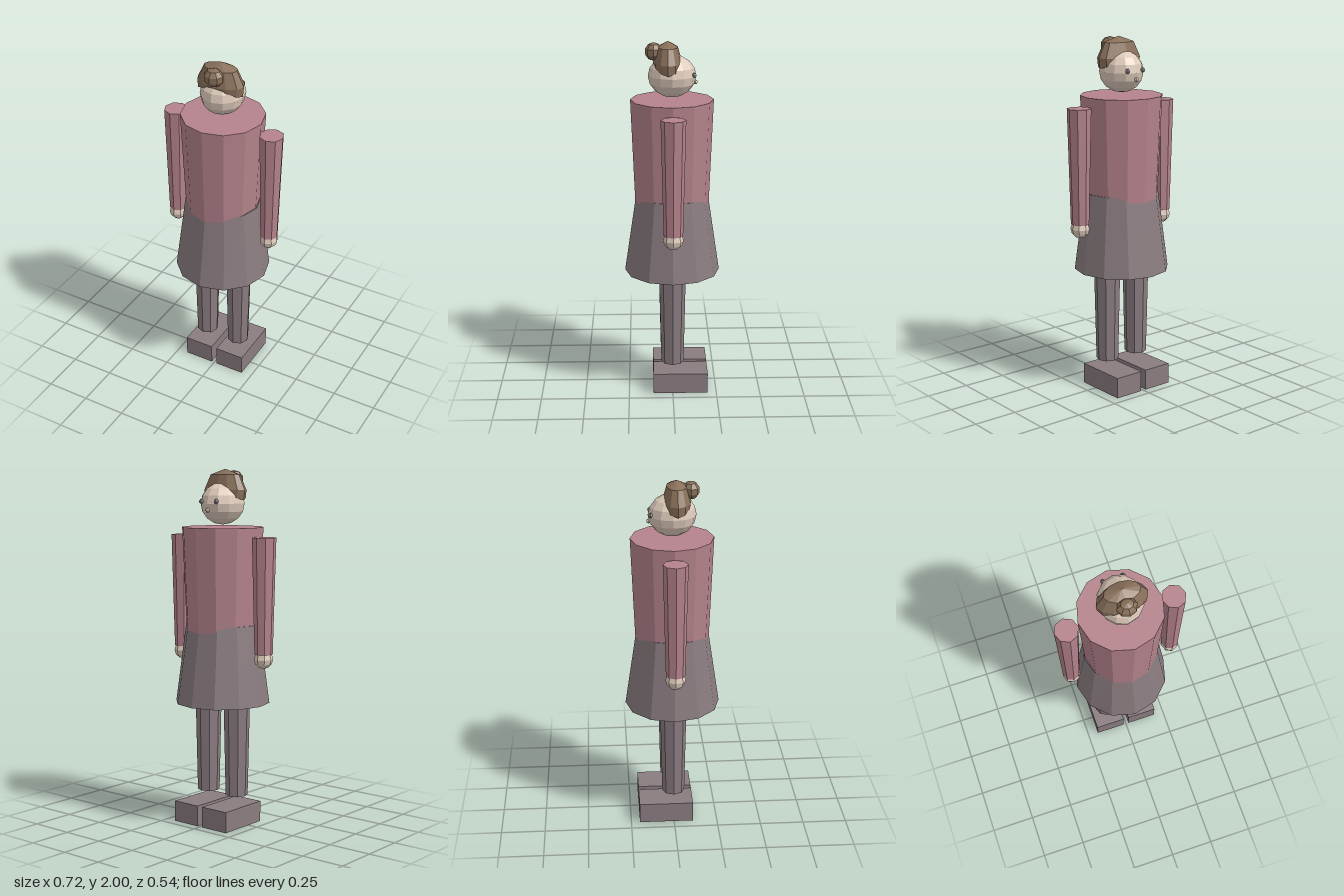
import * as THREE from 'three';

const flat = (name, color) => {
  const m = new THREE.MeshStandardMaterial({ color, flatShading: true });
  m.name = name;
  return m;
};

export function createModel() {
  const model = new THREE.Group();
  model.name = 'figure';
  const pink = flat('dusty pink', 0xb5838c);
  const grey = flat('warm grey', 0x8a7c80);
  const skin = flat('skin', 0xddcaba);
  const brown = flat('hair brown', 0x89705a);

  const add = (name, geometry, material, x = 0, y = 0, z = 0) => {
    const mesh = new THREE.Mesh(geometry, material);
    mesh.name = name;
    mesh.position.set(x, y, z);
    model.add(mesh);
    return mesh;
  };

  // Closed tapered tube between two heights; each end has its own x and z radius
  const taper = (y0, [bx, bz], y1, [tx, tz], sides) => {
    const g = new THREE.CylinderGeometry(1, 1, 2, sides);
    const p = g.attributes.position;
    for (let i = 0; i < p.count; i++) {
      const top = p.getY(i) > 0;
      p.setXYZ(i, p.getX(i) * (top ? tx : bx), top ? y1 : y0, p.getZ(i) * (top ? tz : bz));
    }
    return g;
  };

  const ball = (rx, ry, rz, w, h) => new THREE.SphereGeometry(1, w, h).scale(rx, ry, rz);

  // Clothing
  add('sweater', taper(1.08, [0.204, 0.206], 1.68, [0.23, 0.23], 12), pink);
  add('skirt', taper(0.692, [0.268, 0.268], 1.14, [0.212, 0.201], 12), grey);

  // Limbs, mirrored
  for (const [side, s] of [['left', 1], ['right', -1]]) {
    add(side + 'Sleeve', taper(0.99, [0.049, 0.053], 1.63, [0.066, 0.068], 8), pink, s * 0.293);
    add(side + 'Hand', ball(0.051, 0.052, 0.056, 8, 6), skin, s * 0.293, 0.962, 0);
    add(side + 'Leg', taper(0.165, [0.062, 0.064], 0.75, [0.075, 0.076], 8), grey, s * 0.104);
    add(side + 'Shoe', new THREE.BoxGeometry(0.173, 0.118, 0.31), grey, s * 0.103, 0.059, -0.045);
    add(side + 'Eye', ball(0.014, 0.014, 0.014, 6, 5), grey, s * 0.053, 1.822, -0.118);
  }

  // Head and nose
  add('head', ball(0.12, 0.117, 0.132, 12, 8), skin, 0, 1.81, 0);
  add('nose', ball(0.012, 0.013, 0.013, 6, 5), skin, 0, 1.775, -0.128);

  // Hair cap, its rim rising from the temples to the front and back
  const profile = [[0, 1.87], [0.132, 1.828], [0.137, 1.885], [0.096, 1.968], [0, 2]];
  const cap = new THREE.LatheGeometry(profile.map(([r, y]) => new THREE.Vector2(r, y)), 12);
  const p = cap.attributes.position;
  for (let i = 0; i < p.count; i++) {
    if (p.getY(i) < 1.84) p.setY(i, p.getY(i) + 0.045 * (p.getZ(i) / 0.132) ** 2);
    p.setZ(i, p.getZ(i) * 0.58);
  }
  add('hairCap', cap, brown, 0, 0, 0.024);
  add('hairBun', ball(0.057, 0.05, 0.049, 8, 5), brown, 0, 1.943, 0.1);

  return model;
}
